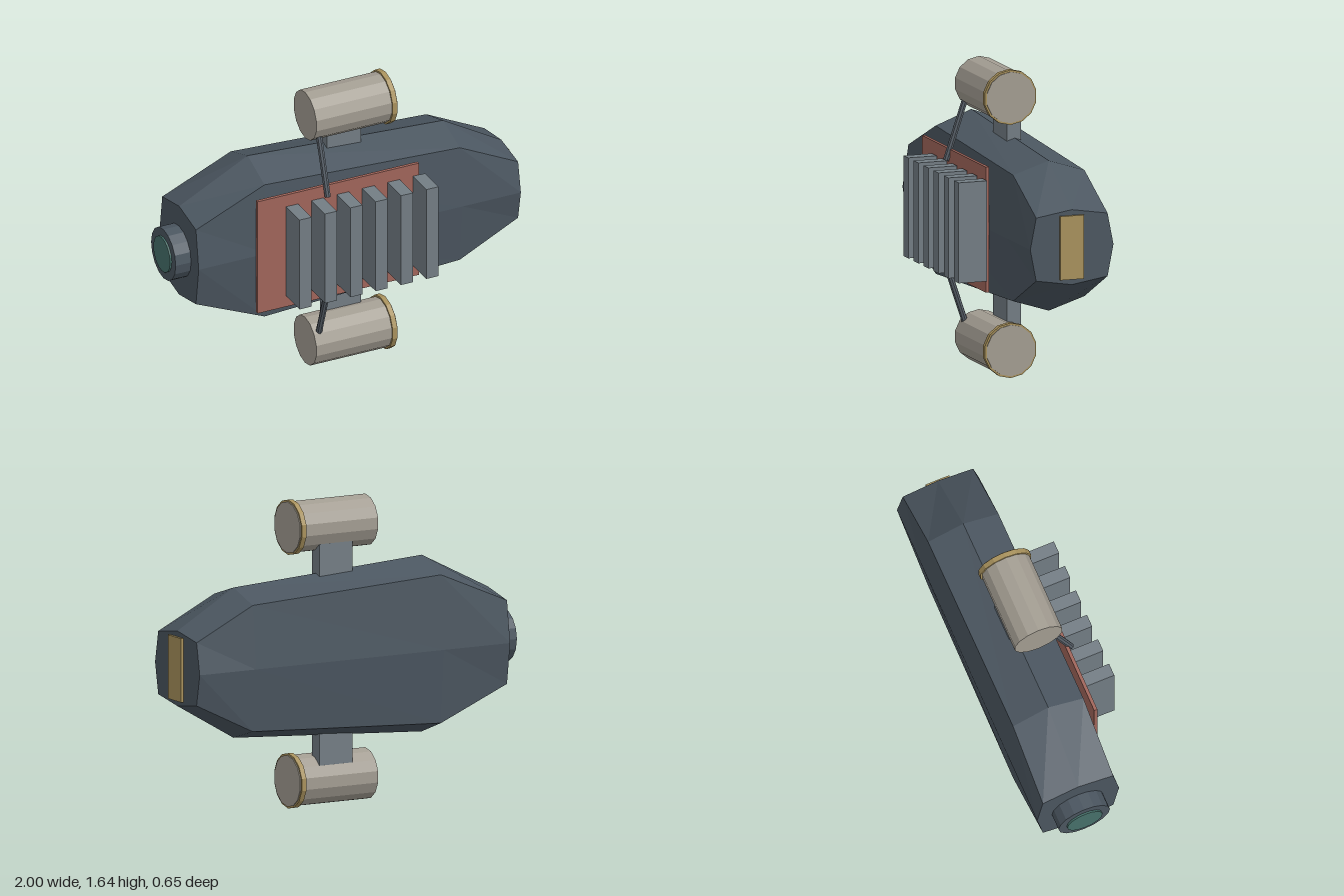
import * as THREE from 'three';

const MID = 0.825; // height of the long axis
const mat = (color) => new THREE.MeshStandardMaterial({ color, flatShading: true });

// Faceted hull lofted through octagonal sections along x
function hullGeometry() {
  const stations = [[-0.9, 0.265], [-0.5, 0.47], [0.64, 0.4], [0.98, 0.2]]; // x, half height
  const ring = [[1, 0], [0.84, 0.2], [0, 0.233], [-0.84, 0.2], [-1, 0], [-0.84, -0.2], [0, -0.233], [0.84, -0.2]];
  const n = ring.length, last = stations.length - 1;
  const pos = [], index = [];
  for (const [x, h] of stations)
    for (const [y, z] of ring) pos.push(x, MID + y * h, z - 0.092);
  for (let i = 0; i < last; i++)
    for (let j = 0; j < n; j++) {
      const a = i * n + j, b = i * n + (j + 1) % n;
      index.push(a, b, b + n, a, b + n, a + n);
    }
  // End caps
  for (let j = 1; j < n - 1; j++) {
    index.push(0, j + 1, j);
    index.push(last * n, last * n + j, last * n + j + 1);
  }
  const g = new THREE.BufferGeometry();
  g.setAttribute('position', new THREE.Float32BufferAttribute(pos, 3));
  g.setIndex(index);
  const flat = g.toNonIndexed();
  flat.computeVertexNormals();
  return flat;
}

export function createModel() {
  const model = new THREE.Group();
  const hullMat = mat(0x4b5660), greyMat = mat(0x737d84), redMat = mat(0xa0655a);
  const podMat = mat(0xa39d92), goldMat = mat(0xa8915c), lensMat = mat(0x46706a);
  const strutMat = mat(0x586069);

  const add = (name, geometry, material, parent = model) => {
    const m = new THREE.Mesh(geometry, material);
    m.name = name;
    parent.add(m);
    return m;
  };
  // Box given by its extents on each axis
  const box = (name, [x0, x1], [y0, y1], [z0, z1], material, parent) =>
    add(name, new THREE.BoxGeometry(x1 - x0, y1 - y0, z1 - z0), material, parent)
      .position.set((x0 + x1) / 2, (y0 + y1) / 2, (z0 + z1) / 2);
  // Cylinder lying along x
  const tube = (name, x0, x1, y, z, r, sides, material, parent) => {
    const g = new THREE.CylinderGeometry(r, r, x1 - x0, sides).rotateY(Math.PI / 2).rotateZ(-Math.PI / 2);
    add(name, g, material, parent).position.set((x0 + x1) / 2, y, z);
  };

  add('hull', hullGeometry(), hullMat);

  // Sensor at the narrow end, plate at the other
  tube('sensorHousing', -0.99, -0.88, MID, -0.095, 0.146, 16, hullMat);
  tube('sensorLens', -1, -0.98, MID, -0.095, 0.1, 16, lensMat);
  box('endPlate', [0.97, 0.995], [0.655, 0.995], [-0.155, -0.022], goldMat);

  // Radiator on the front side
  const radiator = new THREE.Group();
  radiator.name = 'radiator';
  model.add(radiator);
  box('radiatorPanel', [-0.565, 0.375], [0.49, 1.16], [0.142, 0.16], redMat, radiator);
  for (let i = 0; i < 6; i++) {
    const x = -0.367 + i * 0.148;
    box('radiatorFin', [x - 0.035, x + 0.035], [0.557, 1.093], [0.165, 0.325], greyMat, radiator);
  }

  // Pods above and below, each with rim, pylon and strut
  for (const s of [1, -1]) {
    const pod = new THREE.Group();
    pod.name = s > 0 ? 'upperPod' : 'lowerPod';
    model.add(pod);
    const y = MID + s * 0.675;
    tube('podBody', -0.2, 0.273, y, -0.02, 0.137, 14, podMat, pod);
    tube('podRim', 0.24, 0.268, y, -0.02, 0.147, 14, goldMat, pod);
    const ys = [MID + s * 0.4, MID + s * 0.6].sort((a, b) => a - b);
    box('pylon', [-0.06, 0.14], ys, [-0.127, -0.047], greyMat, pod);

    const from = new THREE.Vector3(-0.165, MID + s * 0.275, 0.178);
    const to = new THREE.Vector3(-0.165, MID + s * 0.59, 0.072);
    const strut = add('strut', new THREE.CylinderGeometry(0.017, 0.017, from.distanceTo(to), 8), strutMat, pod);
    strut.position.copy(from).lerp(to, 0.5);
    strut.quaternion.setFromUnitVectors(new THREE.Vector3(0, 1, 0), to.clone().sub(from).normalize());
  }
  return model;
}
